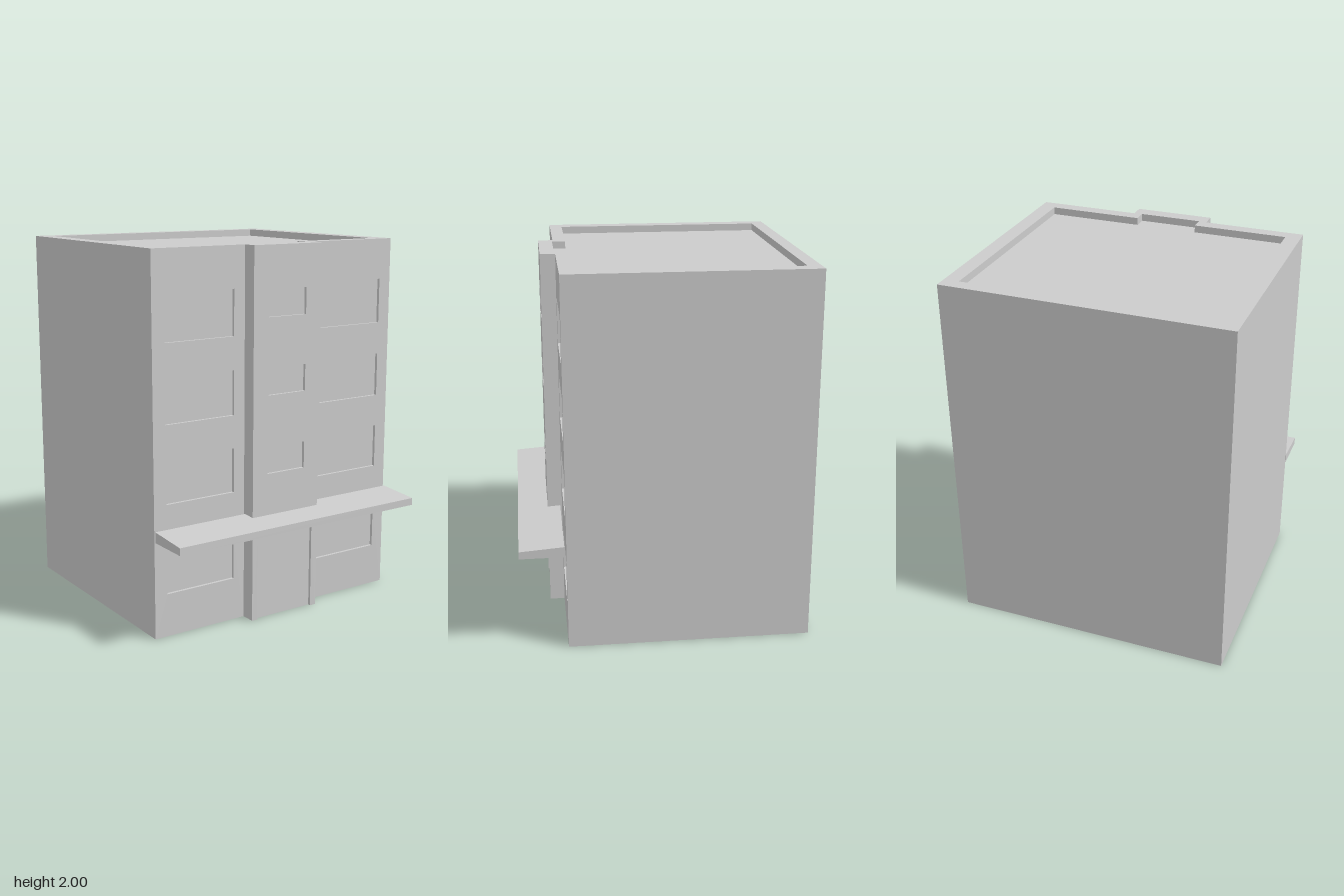
import * as THREE from 'three';

const W = 0.768, BACK = -0.772, FRONT = 0.526, BAY = 0.606, BAY_W = 0.215;
const HEIGHT = 2, ROOF = 1.96, RECESS = 0.016;

const material = new THREE.MeshStandardMaterial({ color: 0xcccccc, flatShading: true });

function add(group, name, geometry) {
  const mesh = new THREE.Mesh(geometry, material);
  mesh.name = name;
  group.add(mesh);
  return mesh;
}

const points = (list) => list.map(([x, y]) => new THREE.Vector2(x, y));
const extrude = (shape, depth) => new THREE.ExtrudeGeometry(shape, { depth, bevelEnabled: false });

// T-shaped floor plan: a rectangle with a projecting bay in the middle of the front
function plan(halfW, back, front, bayHalfW, bayFront) {
  return points([
    [-halfW, -back], [-halfW, -front], [-bayHalfW, -front], [-bayHalfW, -bayFront],
    [bayHalfW, -bayFront], [bayHalfW, -front], [halfW, -front], [halfW, -back],
  ]);
}

// Raise a plan drawn in (x, -z) to stand between two heights
function raise(shape, y0, y1) {
  return extrude(shape, y1 - y0).rotateX(-Math.PI / 2).translate(0, y0, 0);
}

function rectPath(x0, x1, y0, y1) {
  return new THREE.Path(points([[x0, y0], [x0, y1], [x1, y1], [x1, y0]]));
}

export function createModel() {
  const model = new THREE.Group();
  model.name = 'apartmentBuilding';

  // Main block, up to the roof deck; its front lies at the depth of the window panes
  const core = new THREE.Shape(plan(W, BACK, FRONT - RECESS, BAY_W, BAY - RECESS));
  add(model, 'mainBlock', raise(core, 0, ROOF));

  // Parapet around the roof
  const rim = new THREE.Shape(plan(W, BACK, FRONT, BAY_W, BAY));
  rim.holes.push(new THREE.Path(plan(0.685, -0.7, 0.457, 0.17, 0.53)));
  add(model, 'parapet', raise(rim, ROOF, HEIGHT));

  // Wing facades, each with a column of wide window openings
  const wideWindows = [[0.231, 0.472], [0.71, 0.948], [1.124, 1.362], [1.537, 1.78]];
  for (const side of [-1, 1]) {
    const mid = side * (W + BAY_W) / 2, half = (W - BAY_W) / 2;
    const wall = new THREE.Shape(points([
      [mid - half, 0], [mid + half, 0], [mid + half, ROOF], [mid - half, ROOF],
    ]));
    for (const [y0, y1] of wideWindows) {
      wall.holes.push(rectPath(side * 0.488 - 0.207, side * 0.488 + 0.207, y0, y1));
    }
    add(model, side > 0 ? 'leftFacade' : 'rightFacade', extrude(wall, RECESS))
      .position.z = FRONT - RECESS;
  }

  // Bay facade with a doorway open to the ground and small windows above
  const bay = new THREE.Shape(points([
    [-BAY_W, 0], [-0.18, 0], [-0.18, 0.477], [0.18, 0.477],
    [0.18, 0], [BAY_W, 0], [BAY_W, ROOF], [-BAY_W, ROOF],
  ]));
  for (const [y0, y1] of [[0.803, 0.948], [1.224, 1.367], [1.632, 1.774]]) {
    bay.holes.push(rectPath(-0.12, 0.12, y0, y1));
  }
  add(model, 'bayFacade', extrude(bay, RECESS)).position.z = BAY - RECESS;

  // Sloping canopy over the ground floor, profile drawn in (-z, y)
  const profile = new THREE.Shape(points([
    [-0.772, 0.525], [-0.536, 0.525], [-0.536, 0.582], [-0.772, 0.565],
  ]));
  add(model, 'canopy', extrude(profile, 2 * W).rotateY(Math.PI / 2).translate(-W, 0, 0));

  return model;
}
